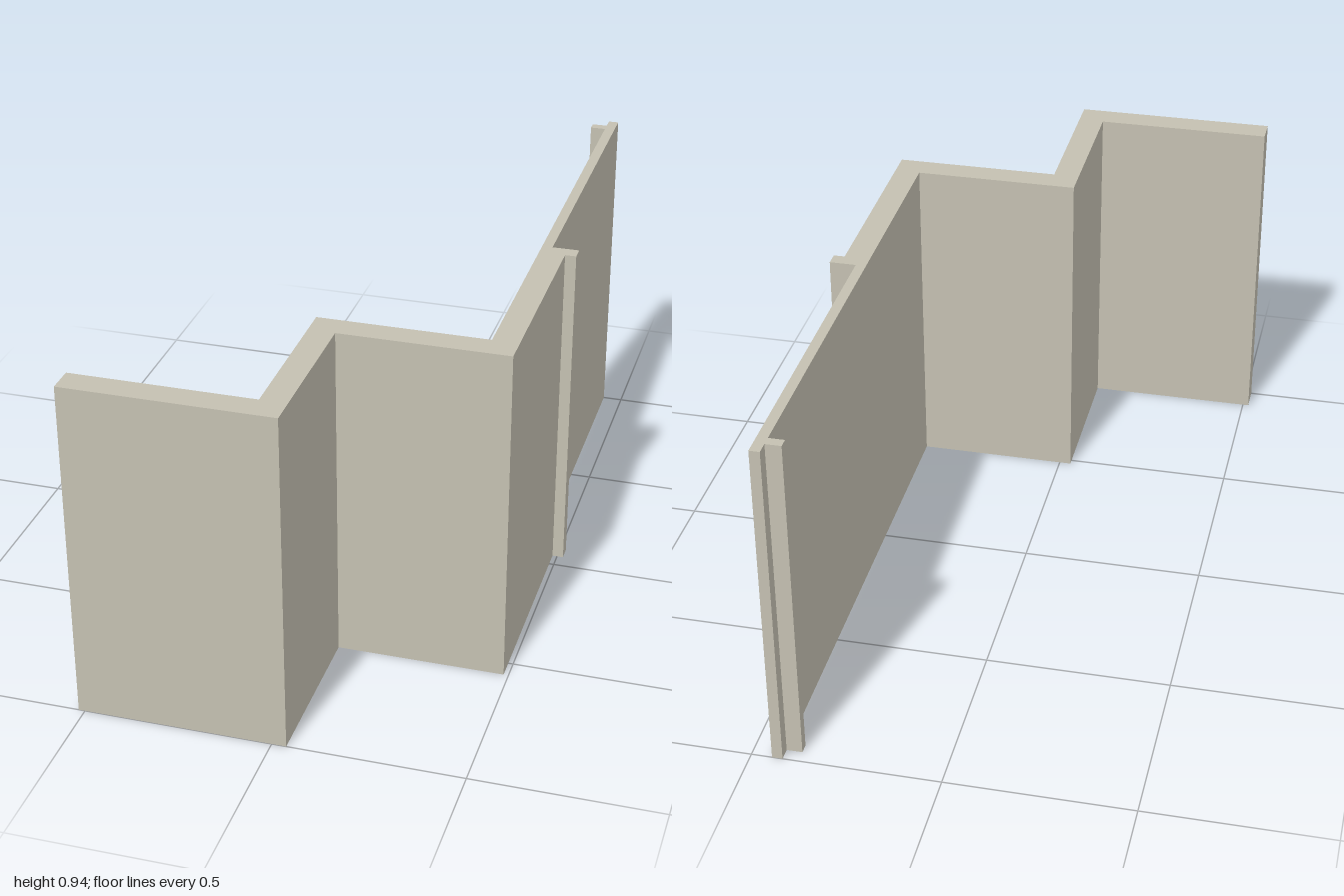
import * as THREE from 'three';

const HEIGHT = 0.935;

// Plan outline of the stepped wall as [x, z]
const PLAN = [
  // back side: two steps, then the long straight run
  [-0.517, 0.927], [-0.033, 0.927], [-0.033, 0.482], [0.417, 0.482],
  // small rib near the far end
  [0.417, -0.938], [0.375, -0.938], [0.375, -0.965], [0.417, -0.965],
  // far end and thin panel
  [0.417, -1], [0.445, -1], [0.445, -0.083],
  // projecting lip where the wall thickens
  [0.517, -0.083], [0.517, -0.044], [0.487, -0.044],
  // front side of the steps
  [0.487, 0.553], [0.038, 0.553], [0.038, 1], [-0.517, 1],
];

export function createModel() {
  const model = new THREE.Group();
  model.name = 'steppedWall';

  const plaster = new THREE.MeshStandardMaterial({ color: 0xc4c0b1 });
  plaster.name = 'warm grey plaster';

  // Extrude the plan upwards; shape y becomes -z
  const shape = new THREE.Shape(PLAN.map(([x, z]) => new THREE.Vector2(x, -z)));
  const geometry = new THREE.ExtrudeGeometry(shape, { depth: HEIGHT, bevelEnabled: false });
  geometry.rotateX(-Math.PI / 2);

  const wall = new THREE.Mesh(geometry, plaster);
  wall.name = 'wall';
  model.add(wall);
  return model;
}
